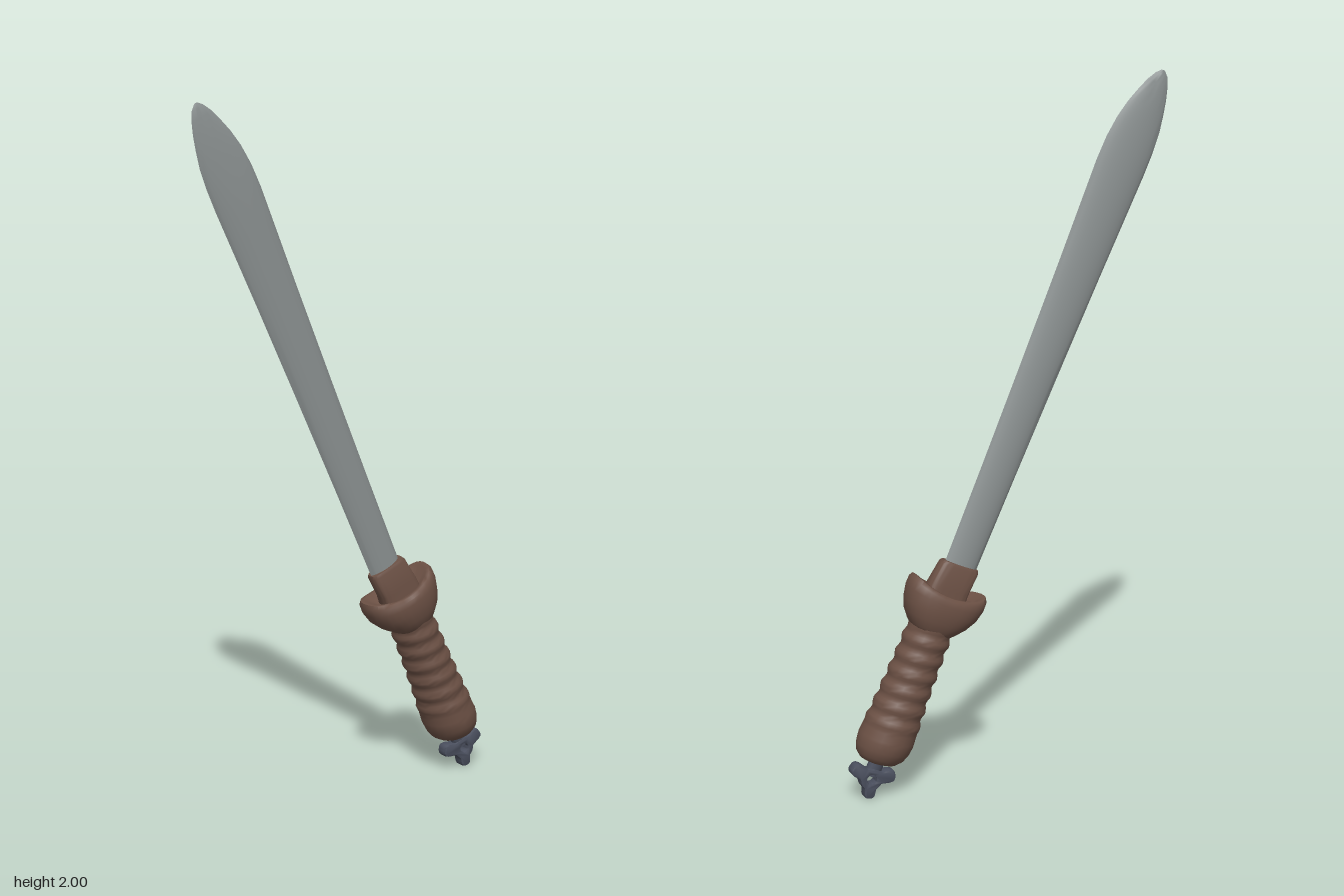
import * as THREE from 'three';
import { toCreasedNormals } from 'three/addons/utils/BufferGeometryUtils.js';

const steel = new THREE.MeshStandardMaterial({ name: 'steel', color: 0x8c9292 });
const leather = new THREE.MeshStandardMaterial({ name: 'brown leather', color: 0x6b5044 });
const iron = new THREE.MeshStandardMaterial({ name: 'dark iron', color: 0x4a4f5e });

const spow = (v, e) => Math.sign(v) * Math.pow(Math.abs(v), e);

// Skin rings [y, centreX, halfWidth, halfDepth, lift]; lift raises the ring toward its x ends.
function loft(rings, { sides = 24, ex = 1, ez = 1, tilt = 0, crease = 0.8 } = {}) {
  const pos = [], idx = [];
  for (const [y, cx, w, d, lift = 0] of rings) {
    for (let j = 0; j < sides; j++) {
      const a = (j / sides) * Math.PI * 2;
      const x = spow(Math.cos(a), ex), z = spow(Math.sin(a), ez);
      pos.push(cx + w * x, y + lift * x * x + tilt * w * x, d * z);
    }
  }
  const n = rings.length;
  for (let i = 0; i < n - 1; i++) {
    for (let j = 0; j < sides; j++) {
      const k = (j + 1) % sides;
      const a = i * sides + j, b = i * sides + k, c = a + sides, e = b + sides;
      idx.push(a, c, b, b, c, e);
    }
  }
  const bottom = pos.length / 3, top = bottom + 1;
  pos.push(rings[0][1], rings[0][0], 0, rings[n - 1][1], rings[n - 1][0], 0);
  for (let j = 0; j < sides; j++) {
    const k = (j + 1) % sides, r = (n - 1) * sides;
    idx.push(bottom, j, k, top, r + k, r + j);
  }
  const g = new THREE.BufferGeometry();
  g.setAttribute('position', new THREE.Float32BufferAttribute(pos, 3));
  g.setIndex(idx);
  return toCreasedNormals(g, crease);
}

export function createModel() {
  const sword = new THREE.Group();
  sword.name = 'sword';
  const add = (name, geometry, material) => {
    const m = new THREE.Mesh(geometry, material);
    m.name = name;
    sword.add(m);
    return m;
  };

  // Leaf-shaped blade, widest just below the point
  add('blade', loft([
    [-0.03, 0, 0.049, 0.017], [0.3, 0, 0.054, 0.017], [0.6, 0, 0.06, 0.018],
    [0.9, 0, 0.067, 0.018], [1.1, 0, 0.073, 0.019], [1.2, 0, 0.076, 0.019],
    [1.27, -0.001, 0.075, 0.018], [1.33, -0.003, 0.069, 0.016], [1.38, -0.005, 0.058, 0.014],
    [1.42, -0.008, 0.046, 0.011], [1.455, -0.01, 0.033, 0.008], [1.48, -0.012, 0.019, 0.005],
    [1.493, -0.012, 0.005, 0.002],
  ], { ez: 1.4 }), steel);

  // Collar gripping the blade base
  add('collar', loft([
    [-0.11, 0.012, 0.064, 0.036], [-0.06, 0.012, 0.061, 0.031],
    [0.008, 0.004, 0.059, 0.026], [0.016, 0.003, 0.055, 0.022],
  ], { ex: 0.5, ez: 0.5, sides: 32 }), leather);

  // Cup-shaped guard with upswept ends
  add('guard', loft([
    [-0.19, 0.016, 0.055, 0.055], [-0.176, 0.016, 0.07, 0.065], [-0.15, 0.014, 0.094, 0.075],
    [-0.12, 0.011, 0.11, 0.08], [-0.095, 0.01, 0.119, 0.08, 0.01], [-0.08, 0.01, 0.119, 0.077, 0.022],
    [-0.072, 0.01, 0.113, 0.07, 0.025], [-0.072, 0.01, 0.1, 0.06, 0.022], [-0.085, 0.01, 0.068, 0.038],
  ], { ex: 0.85, ez: 0.85, sides: 32, crease: 1.1 }), leather);

  // Grip: waisted, with wrapped ribs and a rounded butt
  const grip = [
    [-0.588, 0.016, 0.035, 0.035], [-0.582, 0.016, 0.054, 0.054], [-0.567, 0.016, 0.069, 0.069],
    [-0.545, 0.016, 0.077, 0.077],
  ];
  for (let i = 0; i <= 44; i++) {
    const t = i / 44, y = -0.52 + t * 0.36;
    const ribs = t > 0.12 && t < 0.95 ? 0.0035 * Math.sin((t - 0.12) * 6 * Math.PI * 2 / 0.83) : 0;
    const r = 0.065 + 0.015 * Math.pow(1 - t, 2) + ribs;
    grip.push([y, 0.016, r, r + 0.001]);
  }
  add('grip', loft(grip, { tilt: -0.1, crease: 1.2 }), leather);

  // Pommel stem
  const stem = add('pommelStem', new THREE.CylinderGeometry(0.024, 0.022, 0.07, 16), iron);
  stem.position.set(0.016, -0.597, 0);
  stem.scale.z = 0.75;

  // Flat three-lobed pommel with a round eye
  const lobes = [[15, 0.036], [255, 0.024], [155, 0.038]];
  const outline = [];
  for (let i = 0; i < 72; i++) {
    const deg = i * 5;
    let r = 0.033;
    for (const [at, size] of lobes) {
      const d = ((deg - at + 540) % 360) - 180;
      r += size * Math.exp(-Math.pow(d / 24, 4));
    }
    const a = THREE.MathUtils.degToRad(deg);
    outline.push(new THREE.Vector2(r * Math.cos(a), r * Math.sin(a)));
  }
  const shape = new THREE.Shape(outline);
  const eye = new THREE.Path();
  eye.absarc(0, 0, 0.013, 0, Math.PI * 2, true);
  shape.holes.push(eye);
  const plate = new THREE.ExtrudeGeometry(shape, {
    depth: 0.024, bevelEnabled: true, bevelThickness: 0.006, bevelSize: 0.005,
    bevelOffset: -0.005, bevelSegments: 2, curveSegments: 16,
  });
  plate.translate(0.016, -0.64, -0.012);
  add('pommel', toCreasedNormals(plate, 0.7), iron);

  // Lean the whole sword over
  sword.rotation.z = THREE.MathUtils.degToRad(23.5);
  sword.position.set(0.14, 0.635, 0);
  const model = new THREE.Group();
  model.name = 'leaningSword';
  model.add(sword);
  return model;
}
